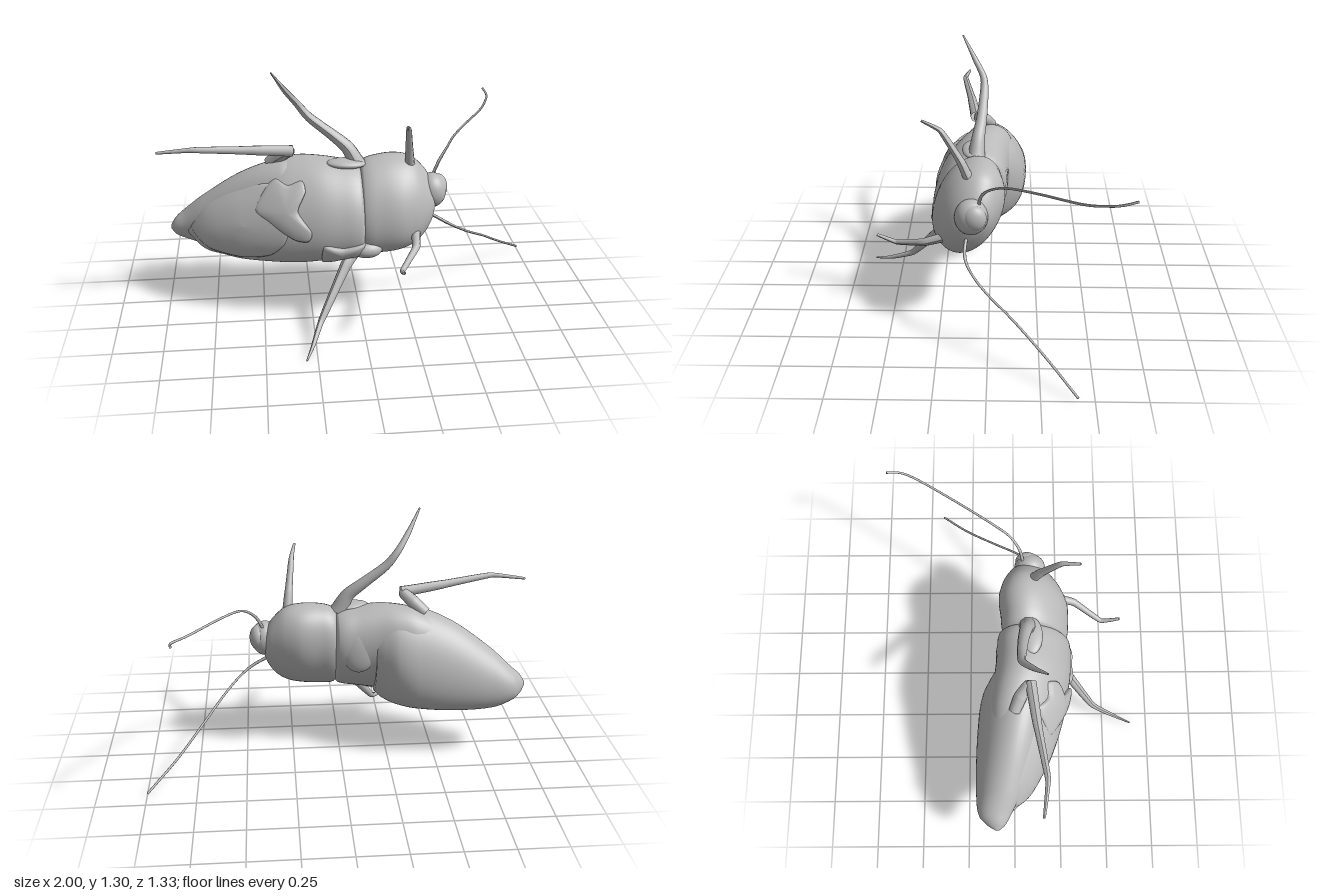
import * as THREE from 'three';

const grey = new THREE.MeshStandardMaterial({ color: 0xbababa, side: THREE.DoubleSide });
grey.name = 'shell grey';

// Body sections: [x, top y, bottom y, back z, front z, lean]
const BELLY = [
  [-0.88, 0.44, 0.39, -0.07, -0.01, 0.3], [-0.8, 0.56, 0.32, -0.1, 0.07, 0.3], [-0.7, 0.64, 0.3, -0.11, 0.13, 0.3],
  [-0.6, 0.7, 0.285, -0.12, 0.18, 0.3], [-0.4, 0.8, 0.28, -0.13, 0.25, 0.3], [-0.3, 0.82, 0.285, -0.12, 0.275, 0.3],
  [-0.2, 0.82, 0.3, -0.1, 0.295, 0.3], [-0.1, 0.805, 0.315, -0.09, 0.3, 0.3], [0, 0.785, 0.335, -0.08, 0.295, 0.3],
  [0.03, 0.75, 0.37, -0.04, 0.26, 0.3]];
const WINGS = [
  [-0.975, 0.41, 0.39, -0.1, -0.08, 0], [-0.95, 0.45, 0.355, -0.14, -0.05, -0.1], [-0.9, 0.495, 0.325, -0.185, -0.02, -0.2],
  [-0.8, 0.585, 0.285, -0.2, 0.03, -0.3], [-0.6, 0.725, 0.265, -0.2, 0.1, -0.32], [-0.4, 0.805, 0.265, -0.187, 0.16, -0.25],
  [-0.3, 0.8, 0.268, -0.165, 0.18, -0.05], [-0.23, 0.775, 0.28, -0.125, 0.19, 0.15], [-0.19, 0.75, 0.31, -0.1, 0.19, 0.25]];
const THORAX = [
  [0, 0.75, 0.38, -0.03, 0.25, 0.3], [0.025, 0.795, 0.34, -0.06, 0.28, 0.3], [0.1, 0.82, 0.335, -0.07, 0.29, 0.3],
  [0.2, 0.825, 0.345, -0.08, 0.29, 0.3], [0.28, 0.805, 0.37, -0.06, 0.26, 0.3], [0.34, 0.75, 0.42, -0.03, 0.22, 0.3],
  [0.38, 0.69, 0.49, 0, 0.18, 0.3], [0.4, 0.64, 0.56, 0.04, 0.13, 0.3]];

// Smooth interpolation of one section at x
function sectionAt(s, x) {
  let i = 0;
  while (i < s.length - 2 && x > s[i + 1][0]) i++;
  const a = s[i], b = s[i + 1], h = b[0] - a[0];
  const u = THREE.MathUtils.clamp((x - a[0]) / h, 0, 1);
  const p = s[Math.max(i - 1, 0)], n = s[Math.min(i + 2, s.length - 1)];
  return [1, 2, 3, 4, 5].map((k) => {
    const ma = ((b[k] - p[k]) / (b[0] - p[0])) * h, mb = ((n[k] - a[k]) / (n[0] - a[0])) * h;
    const u2 = u * u, u3 = u2 * u;
    return (2 * u3 - 3 * u2 + 1) * a[k] + (u3 - 2 * u2 + u) * ma + (3 * u2 - 2 * u3) * b[k] + (u3 - u2) * mb;
  });
}

// Point [y, z] on a leaning elliptical section
function ringPoint([top, bottom, back, front, lean], t, scale = 1) {
  return [(top + bottom) / 2 + (scale * (top - bottom) / 2) * Math.sin(t),
    (back + front) / 2 + (scale * (front - back) / 2) * Math.cos(t + lean)];
}

function gridGeometry(points, rows, cols) {
  const index = [];
  for (let i = 0; i < rows - 1; i++) for (let j = 0; j < cols; j++) {
    const k = (j + 1) % cols;
    const a = i * cols + j, b = a + cols, c = (i + 1) * cols + k, d = i * cols + k;
    index.push(a, b, c, a, c, d);
  }
  const g = new THREE.BufferGeometry();
  g.setAttribute('position', new THREE.Float32BufferAttribute(points, 3));
  g.setIndex(index);
  g.computeVertexNormals();
  return g;
}

function loft(sections) {
  const xs = [], cols = 48, pts = [];
  for (let i = 0; i < sections.length - 1; i++)
    for (let k = 0; k < 5; k++) xs.push(THREE.MathUtils.lerp(sections[i][0], sections[i + 1][0], k / 5));
  const last = sections[sections.length - 1][0];
  xs.push(last);
  const rings = [[xs[0], 0.001], ...xs.map((x) => [x, 1]), [last, 0.001]];
  for (const [x, scale] of rings) {
    const s = sectionAt(sections, x);
    for (let j = 0; j < cols; j++) pts.push(x, ...ringPoint(s, (j / cols) * Math.PI * 2, scale));
  }
  return gridGeometry(pts, rings.length, cols);
}

// Raised plate that follows the front of the belly
function bellyPlate(outline, height) {
  const curve = new THREE.CatmullRomCurve3(outline.map(([x, y]) => new THREE.Vector3(x, y, 0)), true, 'catmullrom', 0.35);
  const edge = curve.getSpacedPoints(60).slice(0, 60);
  const mid = edge.reduce((m, p) => m.add(p), new THREE.Vector3()).divideScalar(60);
  const pts = [], radii = [1, 1, 0.95, 0.88, 0.7, 0.5, 0.25, 0.001];
  radii.forEach((r, i) => edge.forEach((p) => {
    const x = THREE.MathUtils.lerp(mid.x, p.x, r), y = THREE.MathUtils.lerp(mid.y, p.y, r);
    const s = sectionAt(BELLY, x);
    const v = THREE.MathUtils.clamp((y - (s[0] + s[1]) / 2) / ((s[0] - s[1]) / 2), -1, 1);
    const lift = i === 0 ? -0.03 : height * (0.35 + 0.65 * Math.sqrt(1 - r * r));
    pts.push(x, y, ringPoint(s, Math.asin(v))[1] + lift);
  }));
  return gridGeometry(pts, radii.length, 60);
}

// Tapering limb: points are [x, y, z, radius]
function limb(points, tension, segments = 40) {
  const curve = new THREE.CatmullRomCurve3(points.map((p) => new THREE.Vector3(p[0], p[1], p[2])), false, 'catmullrom', tension);
  const g = new THREE.TubeGeometry(curve, segments, 1, 10);
  const pos = g.attributes.position, v = new THREE.Vector3(), n = points.length - 1;
  for (let i = 0; i <= segments; i++) {
    const u = i / segments, c = curve.getPointAt(u);
    const f = curve.getUtoTmapping(u) * n, k = Math.min(Math.floor(f), n - 1);
    const r = THREE.MathUtils.lerp(points[k][3], points[k + 1][3], f - k);
    for (let j = 0; j <= 10; j++) {
      const id = i * 11 + j;
      v.fromBufferAttribute(pos, id).sub(c).multiplyScalar(r).add(c);
      pos.setXYZ(id, v.x, v.y, v.z);
    }
  }
  g.computeVertexNormals();
  return g;
}

function ball(center, radii, tilt = 0) {
  return new THREE.SphereGeometry(1, 28, 18).scale(...radii).rotateZ(tilt).translate(...center);
}

export function createModel() {
  const model = new THREE.Group();
  const add = (name, geometry) => {
    const mesh = new THREE.Mesh(geometry, grey);
    mesh.name = name;
    model.add(mesh);
  };

  // Body
  add('abdomen', loft(BELLY));
  add('wingCase', loft(WINGS));
  add('thorax', loft(THORAX));
  add('head', ball([0.385, 0.63, 0.085], [0.075, 0.092, 0.083]));
  add('snout', ball([0.42, 0.64, 0.07], [0.047, 0.068, 0.062]));
  add('backPlate', ball([-0.1, 0.6, -0.06], [0.09, 0.12, 0.035]));

  // Belly relief
  add('bellyPlate', bellyPlate([[-0.865, 0.44], [-0.81, 0.55], [-0.7, 0.64], [-0.55, 0.7], [-0.42, 0.71],
    [-0.36, 0.6], [-0.38, 0.45], [-0.46, 0.36], [-0.6, 0.325], [-0.76, 0.345]], 0.015));
  add('bellyCrest', bellyPlate([[-0.47, 0.7], [-0.42, 0.74], [-0.36, 0.72], [-0.29, 0.745], [-0.275, 0.7], [-0.315, 0.61],
    [-0.25, 0.51], [-0.27, 0.46], [-0.33, 0.465], [-0.39, 0.5], [-0.46, 0.55], [-0.53, 0.6]], 0.03));
  add('lowerHipPlate', bellyPlate([[-0.19, 0.43], [-0.09, 0.415], [0.02, 0.43], [0.02, 0.35],
    [-0.06, 0.34], [-0.19, 0.295]], 0.035));
  add('lowerHip', ball([0.03, 0.385, 0.245], [0.08, 0.045, 0.055]));
  add('upperHipPlate', ball([-0.06, 0.797, 0.09], [0.1, 0.024, 0.055], -0.05));

  // Legs
  add('upperFrontLeg', limb([[0.265, 0.78, 0.1, 0.026], [0.255, 0.87, 0.14, 0.021], [0.235, 1.02, 0.235, 0.013],
    [0.215, 1.065, 0.33, 0.006]], 0.2));
  add('upperMiddleLeg', limb([[0, 0.78, 0.07, 0.045], [-0.05, 0.87, 0.06, 0.034], [-0.13, 0.94, 0.045, 0.028],
    [-0.24, 1.03, 0.035, 0.023], [-0.3, 1.105, 0.037, 0.018], [-0.36, 1.19, 0.085, 0.014], [-0.425, 1.3, 0.15, 0.004]], 0.4));
  add('upperHindThigh', limb([[-0.45, 0.78, 0, 0.03], [-0.39, 0.83, 0.03, 0.035], [-0.34, 0.87, 0.07, 0.028],
    [-0.33, 0.885, 0.08, 0.004]], 0.3));
  add('upperHindShin', limb([[-0.33, 0.87, 0.08, 0.03], [-0.55, 0.893, 0.11, 0.023], [-0.82, 0.922, 0.155, 0.014],
    [-1, 0.905, 0.135, 0.006]], 0.15));
  add('lowerMiddleLeg', limb([[-0.01, 0.38, 0.2, 0.035], [-0.08, 0.31, 0.27, 0.03], [-0.22, 0.09, 0.44, 0.016],
    [-0.27, 0.028, 0.57, 0.01], [-0.305, 0.005, 0.66, 0.004]], 0.2));
  add('lowerFrontLeg', limb([[0.285, 0.47, 0.2, 0.026], [0.27, 0.425, 0.33, 0.02], [0.18, 0.375, 0.48, 0.013],
    [0.175, 0.415, 0.58, 0.007]], 0.15));

  // Feelers
  const feeler = (pts) => limb(pts.map((p, i) => [...p, i < 2 ? 0.008 : 0.006]), 0.5, 60);
  add('upperFeeler', feeler([[0.39, 0.69, 0.05], [0.43, 0.77, 0.03], [0.48, 0.825, -0.02], [0.53, 0.855, -0.1],
    [0.62, 0.87, -0.24], [0.74, 0.88, -0.43], [0.795, 0.9, -0.54], [0.81, 0.913, -0.6], [0.803, 0.927, -0.665]]));
  add('lowerFeeler', feeler([[0.37, 0.51, 0.11], [0.46, 0.455, 0.115], [0.53, 0.405, 0.085], [0.61, 0.34, 0.01],
    [0.72, 0.245, -0.13], [0.85, 0.13, -0.28], [0.997, 0.018, -0.422]]));
  return model;
}
